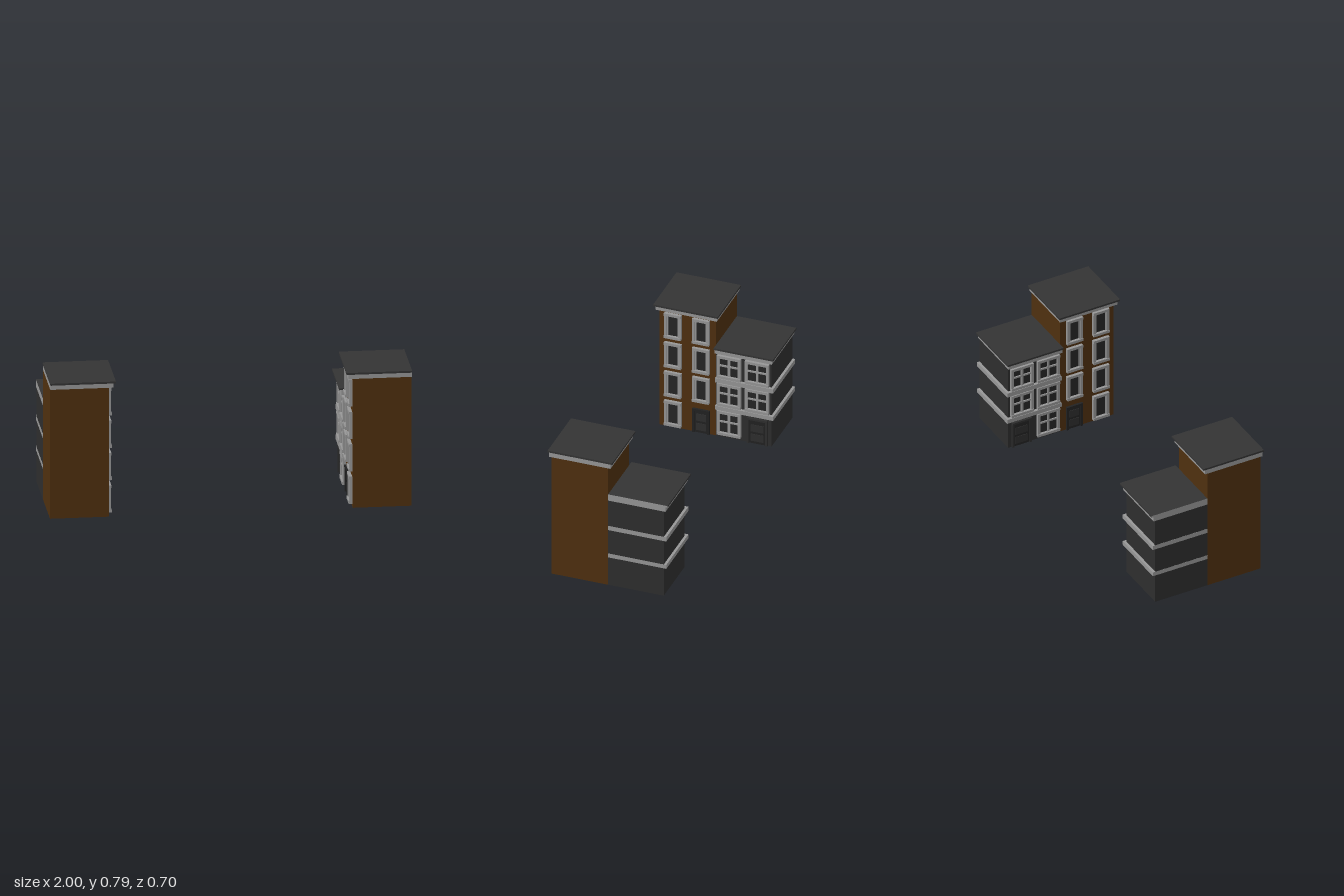
import * as THREE from 'three';

const mat = (color) => new THREE.MeshStandardMaterial({ color, flatShading: true });

// Two mirrored pairs of town houses whose facades face each other across a street.
export function createModel() {
  const model = new THREE.Group();
  model.name = 'streetHouses';

  const brick = mat(0x4f300f);
  const dark = mat(0x2e2e2e);
  const roofMat = mat(0x343434);
  const stone = mat(0x979797);
  const glass = mat(0x262626);
  const doorMat = mat(0x222222);

  const FACADE = 0.675; // distance of the street walls from the centre line

  for (const side of [-1, 1]) {
    const row = new THREE.Group();
    row.name = side < 0 ? 'rightRow' : 'leftRow';
    model.add(row);

    // Box between two distances from the centre line, two heights and two depths
    const box = (name, parent, material, x0, x1, y0, y1, z0, z1) => {
      const mesh = new THREE.Mesh(new THREE.BoxGeometry(x1 - x0, y1 - y0, z1 - z0), material);
      mesh.position.set((side * (x0 + x1)) / 2, (y0 + y1) / 2, (z0 + z1) / 2);
      mesh.name = name;
      parent.add(mesh);
      return mesh;
    };

    // Box standing out from the street wall by d
    const relief = (name, parent, material, d, y0, y1, z0, z1) =>
      box(name, parent, material, FACADE - d, FACADE + 0.002, y0, y1, z0, z1);

    // Framed window with optional glazing bars
    const addWindow = (parent, zc, y0, y1, w, cross) => {
      const g = new THREE.Group();
      g.name = 'window';
      parent.add(g);
      const t = 0.016, h = w / 2;
      relief('pane', g, glass, 0.004, y0 + t, y1 - t, zc - h + t, zc + h - t);
      for (const k of [-1, 1]) {
        const zj = zc + k * (h - t / 2);
        relief('jamb', g, stone, 0.016, y0 + t, y1 - t, zj - t / 2, zj + t / 2);
      }
      relief('lintel', g, stone, 0.018, y1 - t, y1, zc - h, zc + h);
      relief('sill', g, stone, 0.02, y0, y0 + t, zc - h, zc + h);
      if (cross) {
        const ym = y0 + (y1 - y0) * 0.55;
        relief('mullion', g, stone, 0.012, y0 + t, y1 - t, zc - 0.006, zc + 0.006);
        relief('transom', g, stone, 0.011, ym - 0.005, ym + 0.005, zc - h + t, zc + h - t);
      } else {
        // Inner sash
        const s = 0.007, a = h - t;
        for (const k of [-1, 1]) {
          const zs = zc + k * (a - s / 2);
          relief('sash', g, stone, 0.009, y0 + t, y1 - t, zs - s / 2, zs + s / 2);
        }
      }
    };

    // Door with a surround, a leaf and two raised panels
    const addDoor = (parent, zc, w, h, surround) => {
      const g = new THREE.Group();
      g.name = 'door';
      parent.add(g);
      const t = 0.012;
      for (const k of [-1, 1]) {
        const zj = zc + (k * (w - t)) / 2;
        relief('doorJamb', g, surround, 0.012, 0, h, zj - t / 2, zj + t / 2);
      }
      relief('doorHead', g, surround, 0.014, h, h + t, zc - w / 2, zc + w / 2);
      relief('doorLeaf', g, doorMat, 0.004, 0, h, zc - w / 2 + t, zc + w / 2 - t);
      for (const y of [0.015, 0.075]) {
        relief('doorPanel', g, dark, 0.007, y, y + 0.045, zc - w / 2 + 0.022, zc + w / 2 - 0.022);
      }
    };

    // Tall brown house: walls, cornice, flat roof
    const tall = new THREE.Group();
    tall.name = 'tallHouse';
    row.add(tall);
    box('walls', tall, brick, FACADE, 1, 0, 0.75, -0.003, 0.33);
    box('cornice', tall, stone, 0.65, 1, 0.75, 0.777, -0.017, 0.343);
    box('roof', tall, roofMat, 0.638, 1, 0.777, 0.788, -0.027, 0.352);
    for (let floor = 0; floor < 4; floor++) {
      const y = 0.012 + floor * 0.1875;
      addWindow(tall, 0.2475, y, y + 0.158, 0.1, false);
      if (floor > 0) addWindow(tall, 0.0825, y, y + 0.158, 0.1, false);
    }
    addDoor(tall, 0.0825, 0.1, 0.14, doorMat);

    // Low dark house: walls, string courses, cornice, flat roof
    const low = new THREE.Group();
    low.name = 'lowHouse';
    row.add(low);
    box('walls', low, dark, FACADE, 1, 0, 0.543, -0.33, -0.003);
    for (const [y0, y1] of [[0.177, 0.202], [0.353, 0.38]]) {
      box('stringCourse', low, stone, 0.657, 1.0005, y0, y1, -0.345, -0.003);
    }
    box('cornice', low, stone, 0.65, 1, 0.543, 0.572, -0.34, -0.003);
    // The outer end of the roof slab is stone
    const slab = Array(6).fill(roofMat);
    slab[side > 0 ? 0 : 1] = stone;
    box('roof', low, slab, 0.638, 1, 0.572, 0.583, -0.352, -0.003);
    for (const y of [0.206, 0.384]) {
      for (const z of [-0.0825, -0.2475]) addWindow(low, z, y, y + 0.143, 0.14, true);
    }
    addWindow(low, -0.0825, 0.02, 0.172, 0.14, true);
    addDoor(low, -0.2475, 0.12, 0.15, dark);
  }
  return model;
}
